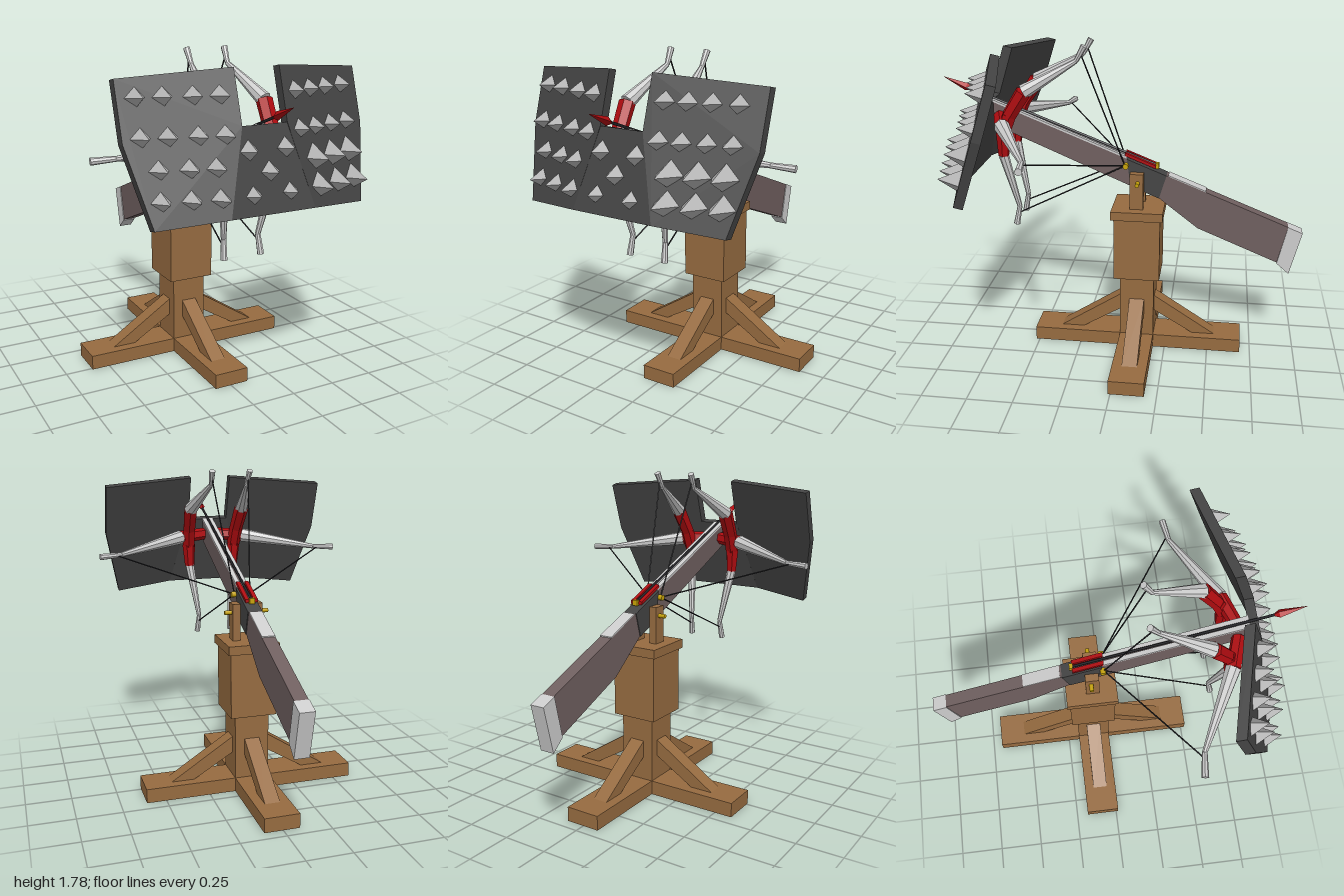
import * as THREE from 'three';

const mat = (name, color, extra = {}) => {
  const m = new THREE.MeshStandardMaterial({ color, ...extra });
  m.name = name;
  return m;
};

export function createModel() {
  const wood = mat('wood', 0x966b40), stockBrown = mat('stock brown', 0x6f5f5f);
  const dark = mat('dark iron', 0x444444), steel = mat('steel', 0xb4b4b4);
  const pale = mat('pale metal', 0xcccccc), red = mat('red', 0xb00c10);
  const brass = mat('brass', 0xc8a406), cord = mat('cord', 0x242428);
  for (const m of [steel, pale, red]) m.flatShading = true;

  const model = new THREE.Group();
  model.name = 'mountedCrossbow';
  const V = (x, y, z) => new THREE.Vector3(x, y, z);

  const add = (parent, name, geo, material) => {
    const mesh = new THREE.Mesh(geo, material);
    mesh.name = name;
    parent.add(mesh);
    return mesh;
  };
  const box = (parent, name, w, h, d, x, y, z, m) =>
    add(parent, name, new THREE.BoxGeometry(w, h, d).translate(x, y, z), m);
  // Tapered rod from a to b
  const rod = (parent, name, a, b, ra, rb, m, sides = 8) => {
    const dir = b.clone().sub(a);
    const mesh = add(parent, name, new THREE.CylinderGeometry(rb, ra, dir.length(), sides), m);
    mesh.position.copy(a).add(b).multiplyScalar(0.5);
    mesh.quaternion.setFromUnitVectors(V(0, 1, 0), dir.normalize());
    return mesh;
  };
  // Chain of tapered rods
  const chain = (parent, name, pts, radii, m, sides) => {
    for (let i = 0; i < pts.length - 1; i++)
      rod(parent, name, V(...pts[i]), V(...pts[i + 1]), radii[i], radii[i + 1], m, sides);
  };
  // Side profile given as [z, y], extruded across x
  const profile = (parent, name, pts, width, m) => {
    const shape = new THREE.Shape(pts.map(([z, y]) => new THREE.Vector2(z, y)));
    const geo = new THREE.ExtrudeGeometry(shape, { depth: width, bevelEnabled: false });
    geo.translate(0, 0, -width / 2).rotateY(-Math.PI / 2);
    return add(parent, name, geo, m);
  };

  // Wooden stand
  const stand = new THREE.Group();
  stand.name = 'stand';
  stand.position.set(0.005, 0, -0.085);
  model.add(stand);
  box(stand, 'footBeam', 1.21, 0.08, 0.195, 0, 0.04, 0, wood);
  for (const s of [-1, 1])
    box(stand, 'footBeam', 0.195, 0.08, 0.5075, 0, 0.04, s * 0.35125, wood);
  box(stand, 'post', 0.195, 0.38, 0.195, 0, 0.27, 0, wood);
  box(stand, 'postBlock', 0.26, 0.37, 0.26, 0, 0.635, 0, wood);
  box(stand, 'postCap', 0.29, 0.05, 0.29, 0, 0.84, 0, wood);
  for (let i = 0; i < 4; i++) {
    const brace = profile(stand, 'brace',
      [[0.09, 0.315], [0.09, 0.22], [0.33, 0.075], [0.46, 0.075]], 0.085, wood);
    brace.rotation.y = i * Math.PI / 2;
  }

  // Crossbow, tilted upward to the front
  const bow = new THREE.Group();
  bow.name = 'crossbow';
  bow.position.x = 0.008;
  model.add(bow);
  const top = z => 1.15 + 0.4 * z;

  // Stock
  profile(bow, 'foreStock',
    [[0.72, top(0.72)], [-0.02, top(-0.02)], [-0.04, 0.985], [0.72, 1.31]], 0.066, stockBrown);
  profile(bow, 'receiver',
    [[-0.02, top(-0.02)], [-0.24, top(-0.24)], [-0.2, 0.92], [-0.04, 0.985]], 0.08, dark);
  profile(bow, 'rearStock',
    [[-0.24, top(-0.24)], [-0.92, top(-0.92)], [-0.87, 0.565], [-0.42, 0.75], [-0.2, 0.92]], 0.072, stockBrown);
  profile(bow, 'buttPlate',
    [[-0.92, top(-0.92)], [-1, top(-1)], [-0.94, 0.5], [-0.87, 0.56]], 0.08, pale);
  const strip = (name, z0, z1, w, h, m, x = 0, lift = 0) => {
    const mesh = profile(bow, name, [[z0, top(z0) + lift], [z1, top(z1) + lift],
      [z1, top(z1) + lift + h], [z0, top(z0) + lift + h]], w, m);
    mesh.position.x = x;
  };
  strip('stockTopPlate', -0.46, -0.25, 0.072, 0.006, pale);

  // Bolt lying in the groove
  rod(bow, 'boltShaft', V(0, 1.105, -0.18), V(0, 1.51, 0.87), 0.007, 0.007, cord, 6);
  rod(bow, 'boltHead', V(0, 1.502, 0.85), V(0, 1.512, 0.875), 0.008, 0.022, red, 4);
  rod(bow, 'boltHead', V(0, 1.512, 0.875), V(0, 1.565, 1.0), 0.022, 0.001, red, 4);

  // Parts that repeat left and right
  const stringEnd = [0.045, 1.105, -0.01];
  for (const s of [-1, 1]) {
    const P = ([x, y, z]) => [s * x, y, z];
    const path = pts => pts.map(P);
    strip('guideRail', -0.02, 0.73, 0.026, 0.012, pale, s * 0.02);
    strip('boltFletching', -0.18, -0.01, 0.022, 0.018, red, s * 0.024, 0.012);
    box(bow, 'forkArm', 0.042, 0.21, 0.075, s * 0.064, 0.965, -0.078, wood);
    rod(bow, 'pivotPin', V(s * 0.06, 1.02, -0.085), V(s * 0.125, 1.02, -0.085), 0.012, 0.012, brass);
    rod(bow, 'stringPin', V(s * 0.03, 1.105, -0.015), V(s * 0.065, 1.105, -0.015), 0.016, 0.016, brass);

    // Red bow grips
    chain(bow, 'bowGrip', path([[0.16, 1.53, 0.515], [0.15, 1.4, 0.6], [0.145, 1.3, 0.64], [0.14, 1.17, 0.645]]),
      [0.043, 0.04, 0.04, 0.03], red, 6);
    chain(bow, 'sideGrip', path([[0.035, 1.36, 0.685], [0.2, 1.35, 0.63]]), [0.036, 0.04], red, 6);

    // Limbs
    chain(bow, 'upperLimb', path([[0.16, 1.53, 0.515], [0.105, 1.69, 0.24], [0.11, 1.77, 0.195]]),
      [0.04, 0.013, 0.018], pale);
    chain(bow, 'lowerLimb', path([[0.14, 1.17, 0.645], [0.1, 0.86, 0.58], [0.108, 0.755, 0.6]]),
      [0.028, 0.014, 0.018], pale);
    chain(bow, 'sideLimb', path([[0.2, 1.35, 0.63], [0.6, 1.288, 0.425], [0.725, 1.283, 0.408]]),
      [0.042, 0.014, 0.019], pale);

    // Strings
    for (const end of [[0.107, 1.73, 0.215], [0.104, 0.82, 0.588], [0.63, 1.287, 0.42]])
      rod(bow, 'bowString', V(...P(stringEnd)), V(...P(end)), 0.004, 0.004, cord, 5);
  }
  box(bow, 'rearSight', 0.03, 0.03, 0.02, 0, 1.1, -0.185, brass);

  // Shield: three flat panels folded back along slanted bend lines
  const bend = y => 0.13 + (1.46 - y) * 0.244;
  const frontZ = (x, y) => 0.775 + 0.26 * (1.46 - y) - 0.27 * Math.max(0, Math.abs(x) - bend(y));
  const wingZ = (x, y) => 0.775 + 0.26 * (1.46 - y) - 0.27 * (Math.abs(x) - bend(y));
  const panel = (name, pts, rule) => {
    const shape = new THREE.Shape(pts.map(p => new THREE.Vector2(...p)));
    const geo = new THREE.ExtrudeGeometry(shape, { depth: 0.05, bevelEnabled: false });
    const p = geo.attributes.position;
    for (let i = 0; i < p.count; i++) {
      const x = p.getX(i), y = p.getY(i), back = 0.05 - p.getZ(i);
      p.setXYZ(i, x, y - back * 0.22, rule(x, y) - back);
    }
    geo.computeVertexNormals();
    add(bow, name, geo, dark);
  };
  panel('shieldCentre', [[-0.128, 1.46], [-0.23, 1.055], [0.23, 1.055], [0.128, 1.46]], frontZ);
  for (const s of [-1, 1])
    panel('shieldWing', [[0.123, 1.72], [0.123, 1.46], [0.23, 1.055], [0.575, 1.025], [0.66, 1.4], [0.66, 1.68]]
      .map(([x, y]) => [s * x, y]), wingZ);

  // Spikes: rows of y, x positions, radius and length
  const spikeRows = [
    [1.6, [-0.575, -0.455, -0.32, -0.2, 0.2, 0.305, 0.415, 0.535], 0.052, 0.1],
    [1.425, [-0.575, -0.455, -0.32, -0.2, 0.2, 0.305, 0.42, 0.535], 0.052, 0.1],
    [1.35, [-0.1, 0.1], 0.058, 0.09],
    [1.285, [-0.515, -0.38, -0.26], 0.052, 0.1],
    [1.285, [0.275, 0.4, 0.525], 0.07, 0.13],
    [1.25, [0], 0.058, 0.09],
    [1.15, [-0.525, -0.39, -0.26], 0.052, 0.1],
    [1.15, [-0.1, 0.1], 0.052, 0.08],
    [1.155, [0.28, 0.41, 0.535], 0.066, 0.13],
  ];
  for (const [y, xs, r, len] of spikeRows)
    for (const x of xs) {
      const z = frontZ(x, y) - 0.015;
      rod(bow, 'shieldSpike', V(x, y - 0.005, z), V(x, y + 0.005, z + len), r, 0.001, steel, 4);
    }

  return model;
}
